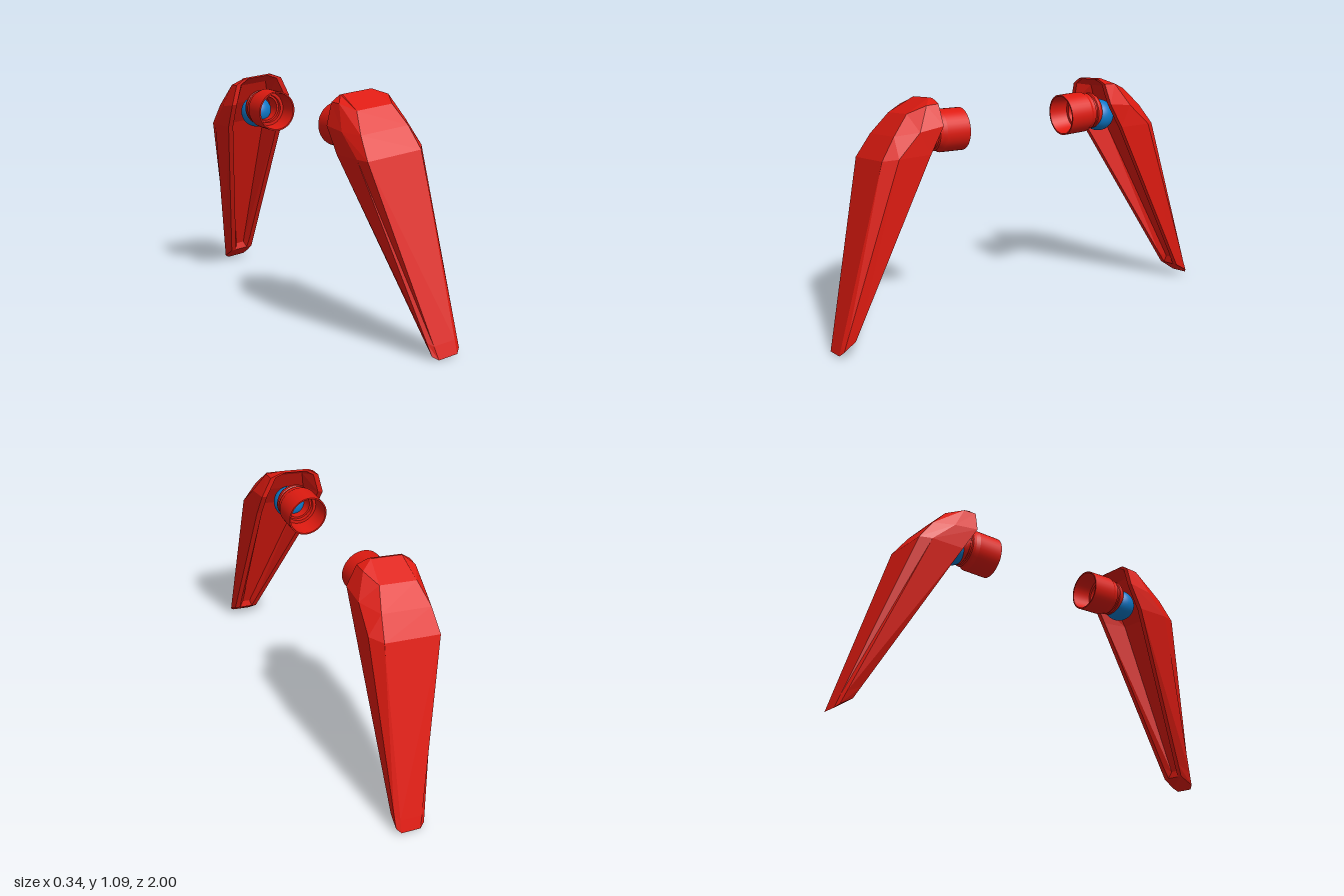
import * as THREE from 'three';

const red = new THREE.MeshStandardMaterial({ color: 0xdd1a10, flatShading: true, side: THREE.DoubleSide });
const redSmooth = new THREE.MeshStandardMaterial({ color: 0xdd1a10, side: THREE.DoubleSide });
const blue = new THREE.MeshStandardMaterial({ color: 0x0d78c8 });

// Stations from top to tip; each edge is [xLow, xHigh, y, z], depth is the hollow
const stations = [
  { face: [-0.10, 0.05, 1.09, 0.475], side: [-0.105, 0.055, 1.088, 0.468], rim: [-0.105, 0.055, 1.086, 0.46], depth: 0 },
  { face: [-0.105, 0.075, 1.03, 0.60], side: [-0.143, 0.11, 1.06, 0.52], rim: [-0.145, 0.11, 1.062, 0.46], depth: 0.45 },
  { face: [-0.135, 0.105, 0.94, 0.68], side: [-0.167, 0.16, 0.95, 0.58], rim: [-0.17, 0.158, 0.965, 0.462], depth: 0.5 },
  { face: [-0.145, 0.125, 0.84, 0.75], side: [-0.16, 0.17, 0.845, 0.69], rim: [-0.16, 0.162, 0.845, 0.53], depth: 0.5 },
  { face: [0.055, 0.15, 0.0, 1.0], side: [0.03, 0.17, 0.018, 0.985], rim: [0.04, 0.165, 0.056, 0.925], depth: 0 },
];

const mix = (a, b, t) => a.map((v, i) => v + (b[i] - v) * t);
const inset = ([a, b, y, z], d) => [a + d, b - d, y, z];

// An extra station closes the hollow just above the tip
const knee = stations[3], tip = stations[4];
stations.splice(4, 0, {
  face: mix(knee.face, tip.face, 0.93),
  side: mix(knee.side, tip.side, 0.93),
  rim: mix(knee.rim, tip.rim, 0.93),
  depth: 0.4,
});

// Closed cross-section: around the outside, over the rim and through the hollow
function section({ face, side, rim, depth }) {
  const inner = inset(rim, 0.026);
  const floor = inset(mix(rim, face, depth), depth ? 0.042 : 0.03);
  const point = ([a, b, y, z], high) => {
    const x = high ? b : a;
    return [x, y + 0.12 * x, z];
  };
  return [
    point(rim, 0), point(side, 0), point(face, 0), point(face, 1), point(side, 1),
    point(rim, 1), point(inner, 1), point(floor, 1), point(floor, 0), point(inner, 0),
  ];
}

function shellGeometry() {
  const rings = stations.map(section);
  const n = rings[0].length;
  const pos = [];
  const tri = (a, b, c) => pos.push(...a, ...b, ...c);
  for (let r = 0; r < rings.length - 1; r++) {
    for (let i = 0; i < n; i++) {
      const j = (i + 1) % n;
      const [a, b, c, d] = [rings[r][i], rings[r][j], rings[r + 1][j], rings[r + 1][i]];
      tri(a, d, c);
      tri(a, c, b);
    }
  }
  // End caps
  const top = rings[0], end = rings[rings.length - 1];
  for (let i = 1; i < 5; i++) {
    tri(top[0], top[i], top[i + 1]);
    tri(end[0], end[i + 1], end[i]);
  }
  const g = new THREE.BufferGeometry();
  g.setAttribute('position', new THREE.Float32BufferAttribute(pos, 3));
  g.computeVertexNormals();
  return g;
}

// Turned part with sharp steps: every profile segment is its own lathe
function turned(profile, material, name) {
  const group = new THREE.Group();
  group.name = name;
  for (let i = 0; i < profile.length - 1; i++) {
    const pts = [profile[i], profile[i + 1]].map(([r, t]) => new THREE.Vector2(r, t));
    const mesh = new THREE.Mesh(new THREE.LatheGeometry(pts, 40), material);
    mesh.name = name + 'Surface';
    group.add(mesh);
  }
  return group;
}

function createArm(name) {
  const arm = new THREE.Group();
  arm.name = name;

  const shell = new THREE.Mesh(shellGeometry(), red);
  shell.name = 'shell';
  arm.add(shell);

  const ball = new THREE.Mesh(new THREE.SphereGeometry(0.078, 32, 20), blue);
  ball.name = 'ballJoint';
  ball.position.set(-0.008, 0.9, 0.512);
  arm.add(ball);

  // Open cup: hollow mouth, stepped floor, then grooved outer wall and collar
  const socket = turned([
    [0.06, 0.195], [0.06, 0.115], [0.07, 0.115], [0.07, 0.095], [0.085, 0.095],
    [0.092, 0], [0.099, 0], [0.099, 0.118], [0.09, 0.134], [0.09, 0.15],
    [0.083, 0.154], [0.083, 0.162], [0.088, 0.166], [0.088, 0.178], [0.078, 0.195], [0.06, 0.195],
  ], redSmooth, 'socket');
  socket.position.set(-0.008, 0.923, 0.285);
  socket.rotation.x = Math.PI / 2 - 0.03;
  arm.add(socket);
  return arm;
}

export function createModel() {
  const model = new THREE.Group();
  model.name = 'armPair';
  const front = createArm('frontArm');
  const back = createArm('backArm');
  back.scale.z = -1;
  model.add(front, back);
  return model;
}
